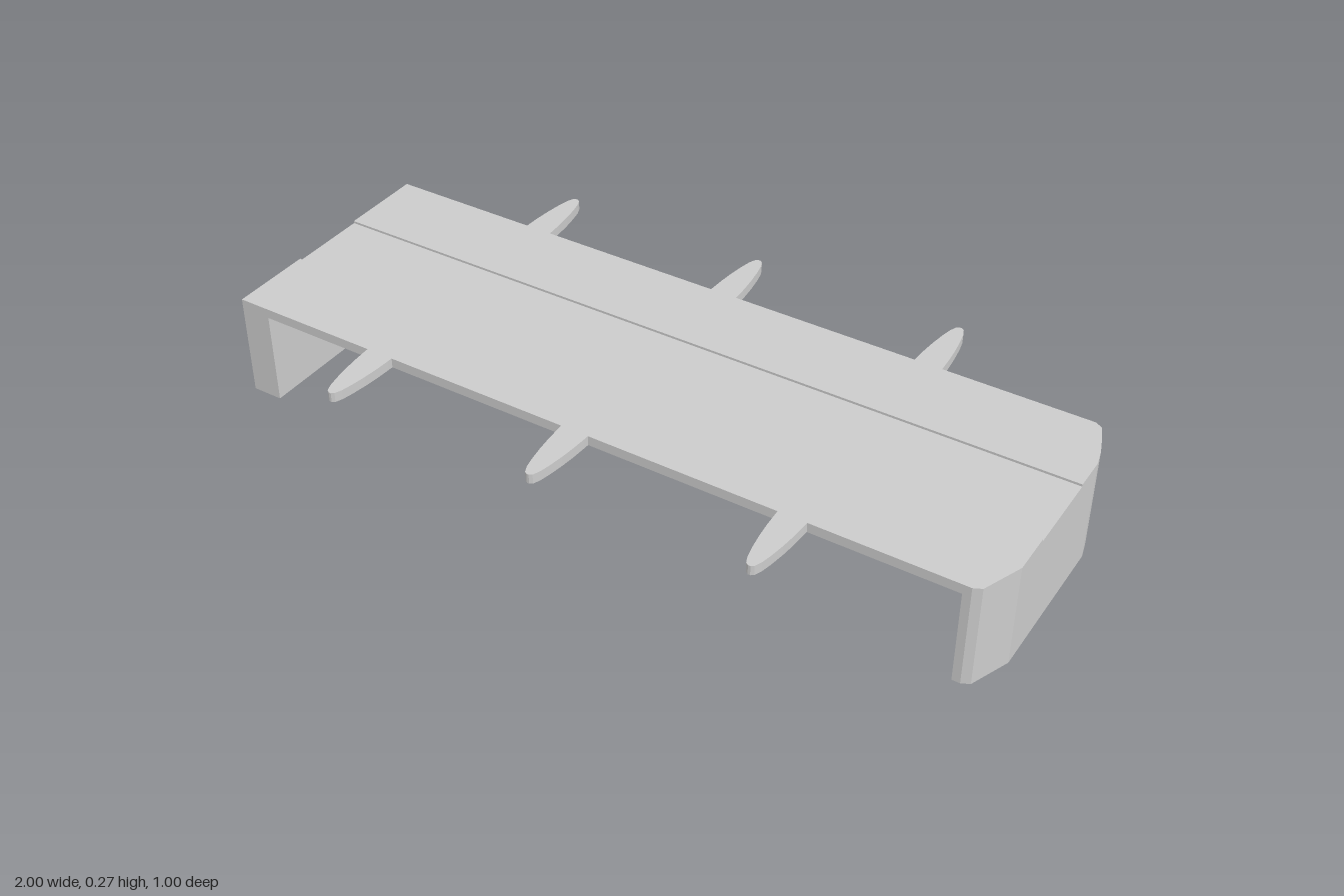
import * as THREE from 'three';

const material = new THREE.MeshStandardMaterial({ color: 0xcccccc, flatShading: true });

// Extrude a plan outline of [x, z] points upward from y0 to y1
function slab(name, points, y0, y1) {
  const shape = new THREE.Shape(points.map(([x, z]) => new THREE.Vector2(x, -z)));
  const geometry = new THREE.ExtrudeGeometry(shape, { depth: y1 - y0, bevelEnabled: false });
  geometry.rotateX(-Math.PI / 2).translate(0, y0, 0);
  const mesh = new THREE.Mesh(geometry, material);
  mesh.name = name;
  return mesh;
}

export function createModel() {
  const group = new THREE.Group();
  group.name = 'bench';

  const under = 0.243, channel = 0.262, top = 0.268;
  const back = -0.325, front = 0.32, groove = 0.105;

  // Corner curves of the rounded end
  const frontCorner = [[1, groove], [1, 0.21], [0.96, 0.31], [0.94, front]];
  const backCorner = [[0.94, back], [0.958, -0.315], [0.975, -0.275], [0.99, -0.232], [1, -0.19], [1, -groove]];

  // Deck with a shallow channel between two raised strips
  group.add(slab('deck', [[-1, front], [-1, back], ...backCorner, ...frontCorner], under, channel));
  group.add(slab('frontStrip', [[-1, front], [-1, groove], ...frontCorner], channel, top));
  group.add(slab('backStrip', [[-1, -groove], [-1, back], ...backCorner], channel, top));

  // End supports: one square, one following the rounded end
  group.add(slab('squareLeg', [[-1, front], [-1, back], [-0.92, back], [-0.92, front]], 0, under));
  group.add(slab('roundedLeg', [[0.92, front], [0.92, back], ...backCorner, ...frontCorner], 0, under));

  // Tapered tabs along both long edges
  const half = [[0.036, 0.31], [0.035, 0.335], [0.033, 0.37], [0.029, 0.41],
    [0.023, 0.45], [0.017, 0.478], [0.01, 0.495], [0.003, 0.5]];
  const tab = [...half, ...half.map(([x, z]) => [-x, z]).reverse()];
  for (const x of [-0.575, -0.025, 0.527]) {
    for (const side of [1, -1]) {
      const outline = tab.map(([dx, z]) => [x + dx, side * z]);
      group.add(slab(side > 0 ? 'frontTab' : 'backTab', outline, under, top));
    }
  }
  return group;
}
